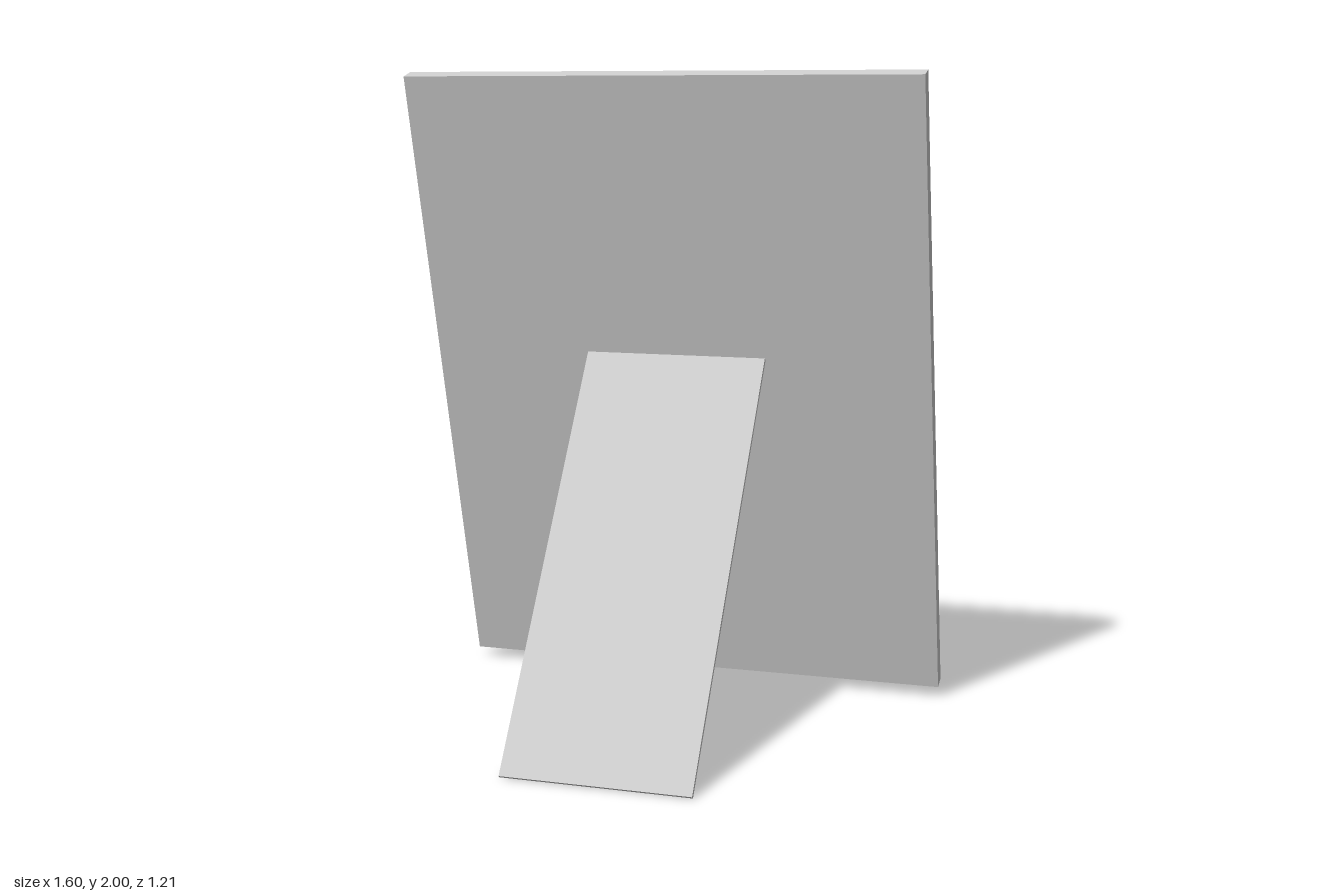
import * as THREE from 'three';

const material = new THREE.MeshStandardMaterial({ color: 0xcccccc, flatShading: true });

function part(name, geometry) {
  const mesh = new THREE.Mesh(geometry, material);
  mesh.name = name;
  return mesh;
}

// Joins rectangular loops [halfWidth, halfHeight, z] with mitred corners
function loftRectangles(loops) {
  const corners = [[-1, -1], [1, -1], [1, 1], [-1, 1]];
  const positions = [];
  const point = ([w, h, z], i) => [corners[i % 4][0] * w, corners[i % 4][1] * h, z];
  for (let k = 0; k < loops.length - 1; k++) {
    for (let i = 0; i < 4; i++) {
      const a = point(loops[k], i), b = point(loops[k], i + 1);
      const c = point(loops[k + 1], i + 1), d = point(loops[k + 1], i);
      positions.push(...a, ...b, ...c, ...a, ...c, ...d);
    }
  }
  const geometry = new THREE.BufferGeometry();
  geometry.setAttribute('position', new THREE.Float32BufferAttribute(positions, 3));
  geometry.computeVertexNormals();
  return geometry;
}

export function createModel() {
  const model = new THREE.Group();
  model.name = 'pictureFrame';

  // Leaning frame; its picture side looks towards -z and slightly up
  const W = 0.8, H = 1.013, tilt = 0.2695;
  const openW = 0.587, openH = 0.797, floorZ = 0.024;
  const body = new THREE.Group();
  body.name = 'frameBody';
  body.add(part('frameMoulding', loftRectangles([
    [W, H, 0],                // back edge
    [W, H, 0.053],            // straight side
    [0.72, 0.931, 0.122],     // bevel
    [openW, openH, 0.122],    // flat front border
    [openW, openH, floorZ],   // recess wall
  ])));
  body.add(part('picturePanel', new THREE.PlaneGeometry(openW * 2, openH * 2).translate(0, 0, floorZ)));
  body.add(part('backPanel', new THREE.PlaneGeometry(W * 2, H * 2).rotateY(Math.PI)));
  body.rotation.set(tilt, Math.PI, 0);
  body.position.set(0, 1.01, -0.24);
  model.add(body);

  // Thin easel leg from the back panel down to the ground
  const top = new THREE.Vector3(0, 1.126, -0.205);
  const foot = new THREE.Vector3(0, 0.0035, 0.601);
  const leg = part('easelLeg', new THREE.BoxGeometry(0.575, top.distanceTo(foot), 0.012));
  leg.position.copy(top).add(foot).multiplyScalar(0.5);
  leg.rotation.x = Math.atan2(top.z - foot.z, top.y - foot.y);
  model.add(leg);

  return model;
}
